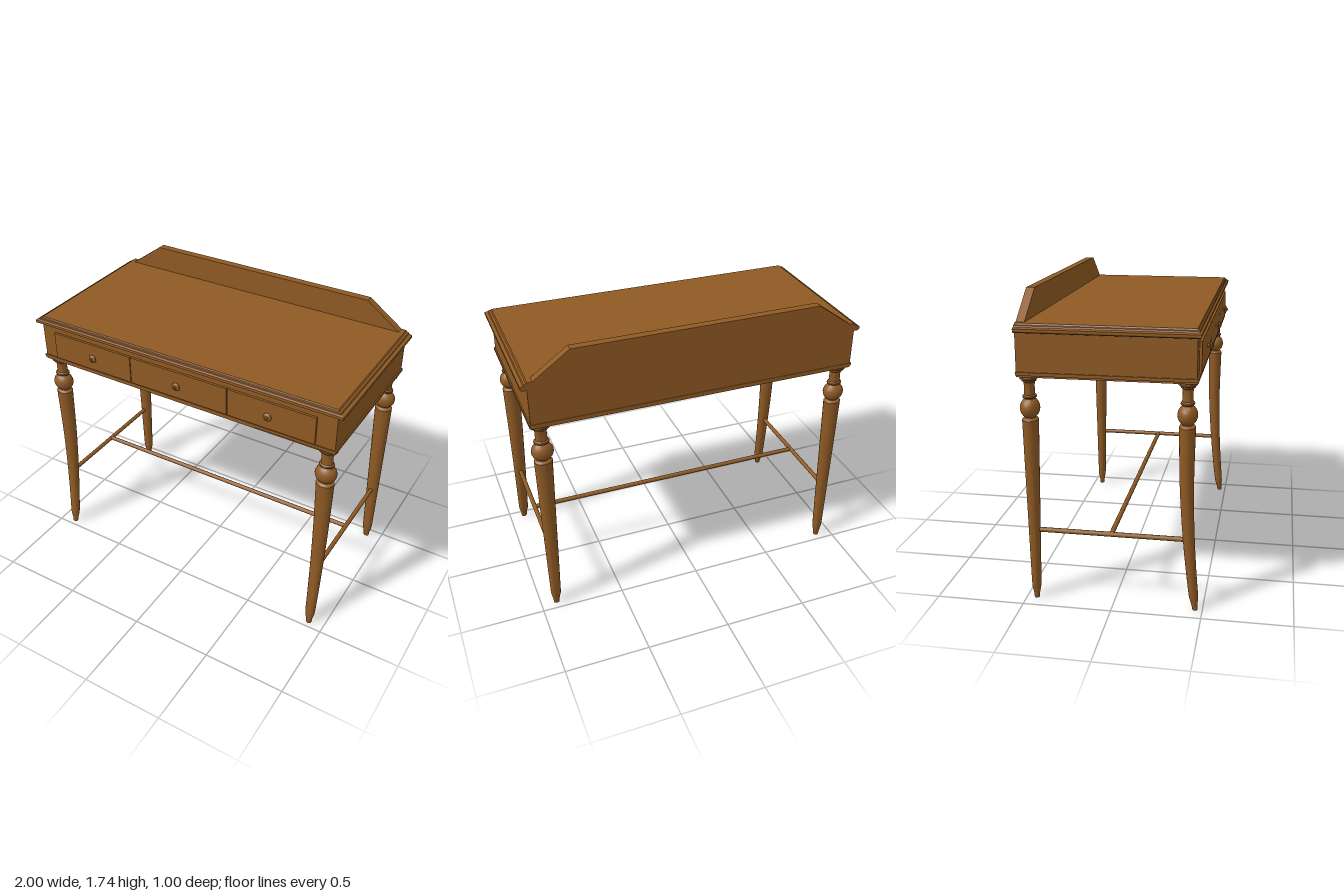
import * as THREE from 'three';
import { toCreasedNormals } from 'three/addons/utils/BufferGeometryUtils.js';

const wood = new THREE.MeshStandardMaterial({ color: 0x8f5a24 });
wood.name = 'brown wood';

const BACK = -0.497;

function part(name, geometry, x = 0, y = 0, z = 0) {
  const mesh = new THREE.Mesh(geometry, wood);
  mesh.name = name;
  mesh.position.set(x, y, z);
  return mesh;
}

// Stack of rectangles [y, halfWidth, front z], all flush at the back
function tiers(rows) {
  const pos = [];
  const rings = rows.map(([y, w, f]) => [[-w, y, f], [w, y, f], [w, y, BACK], [-w, y, BACK]]);
  const quad = (a, b, c, d) => pos.push(...a, ...b, ...c, ...a, ...c, ...d);
  for (let i = 0; i < rings.length - 1; i++) {
    for (let j = 0; j < 4; j++) {
      const k = (j + 1) % 4;
      quad(rings[i][j], rings[i][k], rings[i + 1][k], rings[i + 1][j]);
    }
  }
  quad(...rings[rings.length - 1]);
  quad(...[...rings[0]].reverse());
  const g = new THREE.BufferGeometry();
  g.setAttribute('position', new THREE.Float32BufferAttribute(pos, 3));
  g.computeVertexNormals();
  return g;
}

// Open rectangular frame lying flat between y0 and y1
function frame(y0, y1, w, front, back, inset) {
  const rect = (path, x, a, b) => path.moveTo(-x, a).lineTo(x, a).lineTo(x, b).lineTo(-x, b).closePath();
  const shape = rect(new THREE.Shape(), w, -front, -back);
  shape.holes.push(rect(new THREE.Path(), w - inset, -front + inset, -back - inset));
  const g = new THREE.ExtrudeGeometry(shape, { depth: y1 - y0, bevelEnabled: false });
  return g.rotateX(-Math.PI / 2).translate(0, y0, 0);
}

// Turned leg, slightly narrower front to back; splay bends the foot forward
function legGeometry(splay) {
  const profile = [[0, 0], [0.017, 0], [0.02, 0.03], [0.029, 0.07], [0.031, 0.1]];
  for (let i = 1; i <= 12; i++) {
    const y = 0.1 + i * 0.0792;
    profile.push([0.031 + 0.021 * (i / 12), y]);
  }
  profile.push([0.053, 1.06], [0.046, 1.068], [0.034, 1.072]);
  // Ball
  for (let i = 0; i <= 8; i++) {
    const a = -1.02 + i * 0.255;
    profile.push([0.063 * Math.cos(a), 1.125 + 0.06 * Math.sin(a)]);
  }
  // Ring, neck and capital
  profile.push([0.034, 1.18], [0.043, 1.183], [0.045, 1.188], [0.043, 1.194], [0.034, 1.2],
    [0.033, 1.25], [0.036, 1.268], [0.046, 1.275], [0.046, 1.282], [0.058, 1.288],
    [0.058, 1.296], [0.048, 1.302], [0.048, 1.335]);
  const g = new THREE.LatheGeometry(profile.map(([r, y]) => new THREE.Vector2(r, y)), 24);
  g.scale(1, 1, 0.85);
  const p = g.attributes.position;
  for (let i = 0; i < p.count; i++) {
    const t = Math.max(0, (0.85 - p.getY(i)) / 0.85);
    p.setZ(i, p.getZ(i) + splay * t ** 1.8);
  }
  return toCreasedNormals(g, 0.6);
}

export function createModel() {
  const desk = new THREE.Group();
  desk.name = 'writing desk';

  // Case and its mouldings
  desk.add(part('case', tiers([[1.33, 0.965, 0.453], [1.55, 0.965, 0.453]])));
  desk.add(part('baseMouldingLower', frame(1.304, 1.314, 0.965, 0.456, BACK, 0.03)));
  desk.add(part('baseMouldingUpper', frame(1.314, 1.332, 0.972, 0.461, -0.5, 0.037)));
  desk.add(part('tableTop', tiers([
    [1.543, 0.985, 0.464], [1.55, 1, 0.474], [1.566, 1, 0.474], [1.572, 0.982, 0.463],
    [1.579, 0.978, 0.461], [1.582, 0.966, 0.454], [1.59, 0.96, 0.45],
  ])));

  // Backboard with sloped ends
  const board = new THREE.Shape([[-0.94, 1.585], [0.94, 1.585], [0.725, 1.74], [-0.725, 1.74]]
    .map(([x, y]) => new THREE.Vector2(x, y)));
  desk.add(part('backboard',
    new THREE.ExtrudeGeometry(board, { depth: 0.047, bevelEnabled: false }), 0, 0, BACK));

  // Drawers and knobs
  const knob = toCreasedNormals(new THREE.LatheGeometry([
    [0.013, 0], [0.008, 0.004], [0.008, 0.014], [0.024, 0.017], [0.026, 0.02],
    [0.022, 0.025], [0.01, 0.03], [0.008, 0.035], [0, 0.037],
  ].map(([r, y]) => new THREE.Vector2(r, y)), 20).rotateX(Math.PI / 2), 0.6);
  [[-0.872, -0.325, -0.582], [-0.32, 0.316, 0], [0.321, 0.852, 0.578]].forEach(([x0, x1, kx]) => {
    const drawer = new THREE.Group();
    drawer.name = 'drawer';
    drawer.add(part('drawerFront', new THREE.BoxGeometry(x1 - x0, 0.168, 0.024), (x0 + x1) / 2, 1.424, 0.455));
    drawer.add(part('drawerKnob', knob, kx, 1.427, 0.466));
    desk.add(drawer);
  });

  // Legs and side stretchers
  const frontLeg = legGeometry(0.058);
  const backLeg = legGeometry(0);
  const sideRail = new THREE.CylinderGeometry(0.0135, 0.0135, 0.86, 12).rotateX(Math.PI / 2);
  for (const s of [-1, 1]) {
    desk.add(part('frontLeg', frontLeg, s * 0.905, 0, 0.401));
    desk.add(part('backLeg', backLeg, s * 0.905, 0, -0.445));
    desk.add(part('sideStretcher', sideRail, s * 0.905, 0.418, -0.015));
  }
  desk.add(part('crossStretcher',
    new THREE.CylinderGeometry(0.0135, 0.0135, 1.81, 12).rotateZ(Math.PI / 2), 0, 0.418, -0.01));

  return desk;
}
